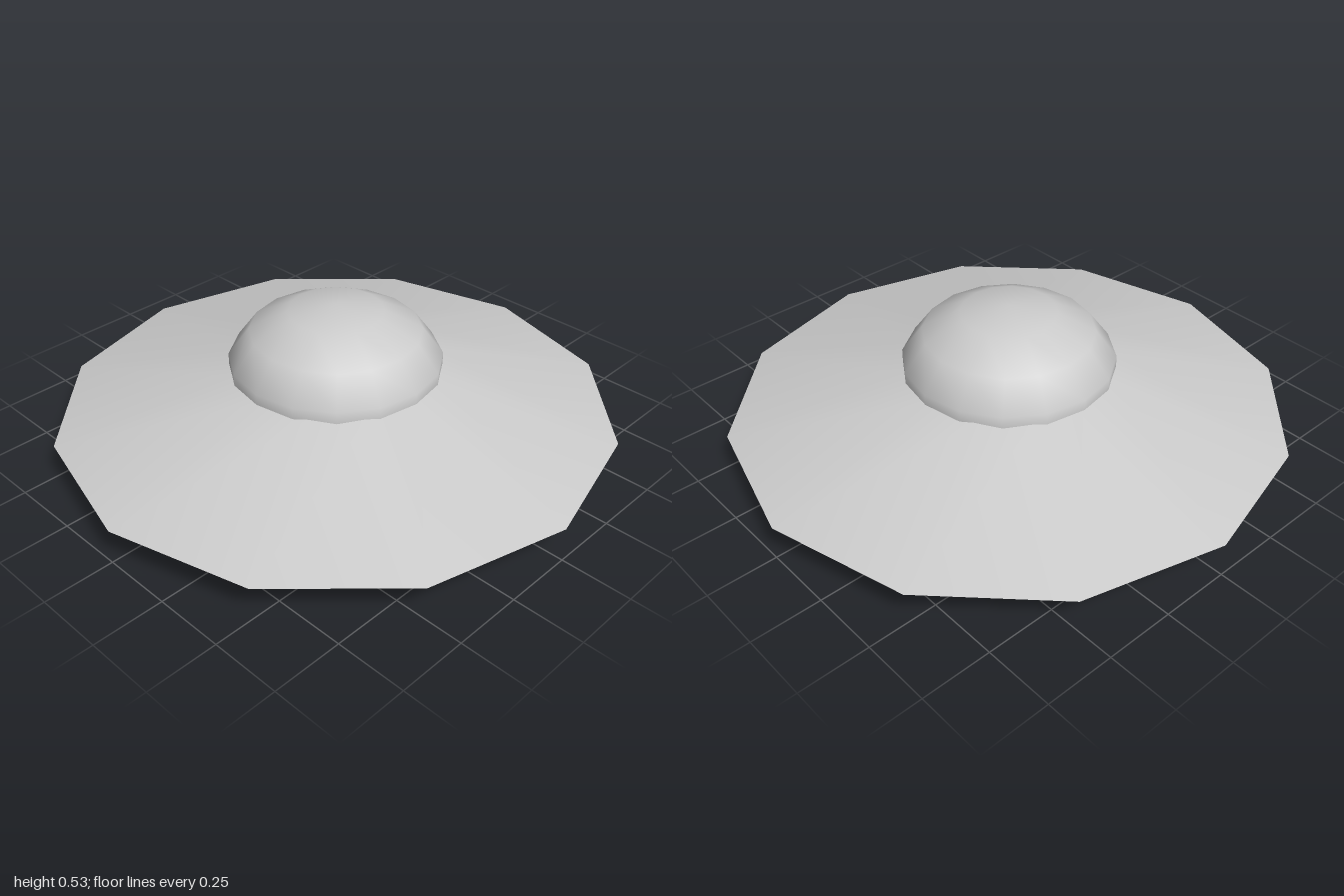
import * as THREE from 'three';

const SIDES = 12;

export function createModel() {
  const model = new THREE.Group();
  const smooth = new THREE.MeshStandardMaterial({ color: 0xcccccc });
  const flat = new THREE.MeshStandardMaterial({ color: 0xcccccc, flatShading: true });

  function add(name, geometry, material, y = 0) {
    const mesh = new THREE.Mesh(geometry, material);
    mesh.name = name;
    mesh.position.y = y;
    model.add(mesh);
    return mesh;
  }

  // Saucer: two shallow cones meeting at a sharp rim
  const rimY = 0.125, topY = 0.3, bottomY = 0.03;
  const topRadius = 0.37, bottomRadius = 0.345;
  add('upperHull', new THREE.CylinderGeometry(topRadius, 1, topY - rimY, SIDES, 1, true),
    smooth, (topY + rimY) / 2);
  add('lowerHull', new THREE.CylinderGeometry(1, bottomRadius, rimY - bottomY, SIDES, 1, true),
    smooth, (rimY + bottomY) / 2);

  // Flat floor closing the underside
  const floor = new THREE.CircleGeometry(bottomRadius, SIDES).rotateX(Math.PI / 2);
  add('hullFloor', floor, smooth, bottomY);

  // Cockpit dome: flattened sphere, cut off inside the hull
  const dome = new THREE.SphereGeometry(0.387, 16, 4, 0, Math.PI * 2, 0, Math.PI * 4 / 7);
  dome.scale(1, 0.255 / 0.387, 1);
  add('dome', dome, smooth, 0.28);

  // Thin landing ring under the hull
  const outer = 0.355, inner = 0.325, ringTop = 0.035;
  const ringProfile = [
    [inner, ringTop], [inner, 0], [outer, 0], [outer, ringTop], [inner, ringTop],
  ].map(([r, y]) => new THREE.Vector2(r, y));
  add('landingRing', new THREE.LatheGeometry(ringProfile, SIDES), flat);

  return model;
}
